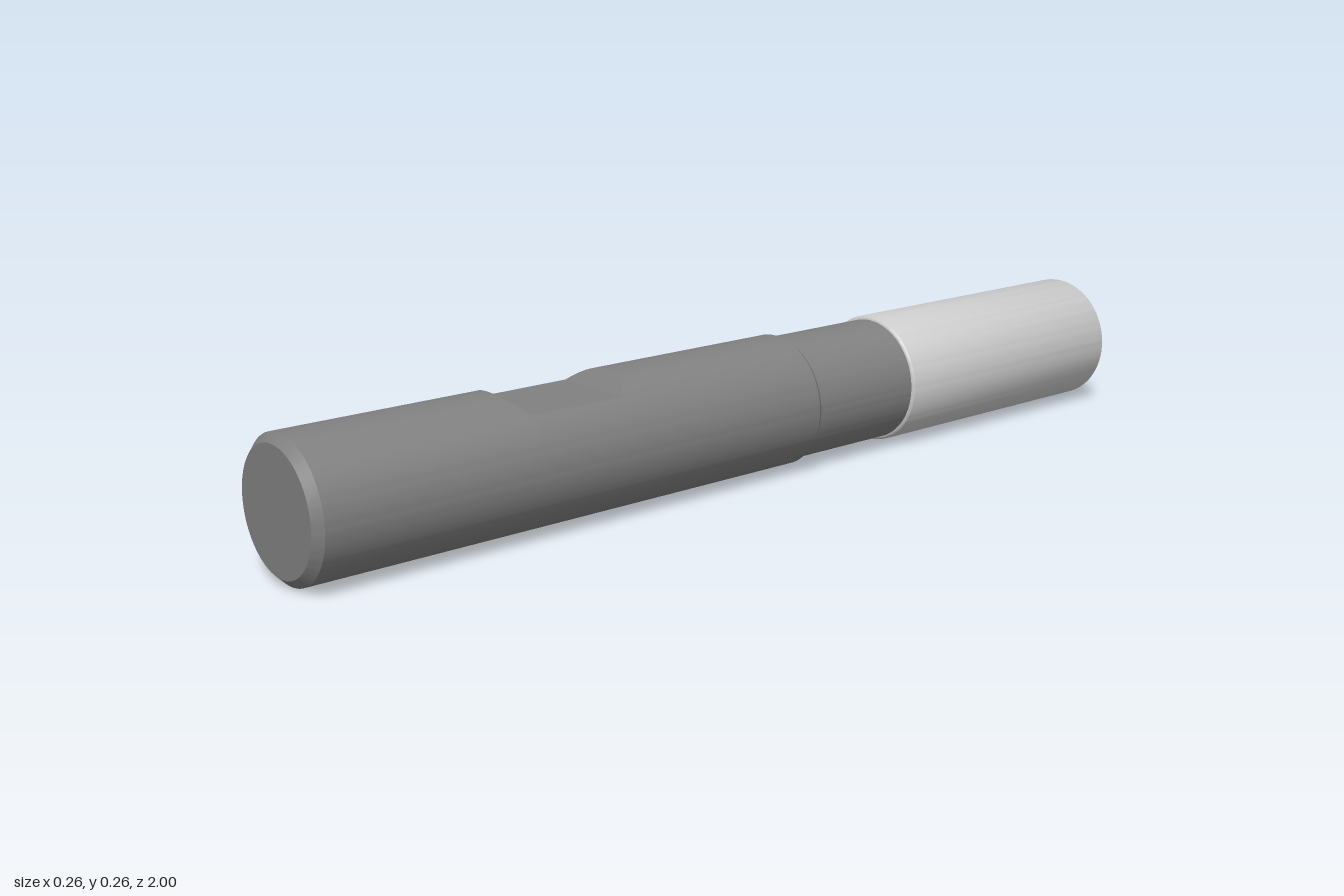
import * as THREE from 'three';
import { toCreasedNormals } from 'three/addons/utils/BufferGeometryUtils.js';

const R = 0.132;                      // body radius
const FLAT = 0.1;                     // height of the clamping flat above the axis
const FLAT_FRONT = 0.547, FLAT_BACK = 0.347;
const SPREAD = Math.acos(FLAT / R);   // half angle cut away by the flat

// Column angles: fine steps over the flat, so its edges fall exactly on columns
const angles = [];
for (let i = 0; i < 32; i++) angles.push(Math.PI / 2 - SPREAD + (2 * SPREAD * i) / 32);
for (let i = 0; i < 72; i++) angles.push(Math.PI / 2 + SPREAD + ((2 * Math.PI - 2 * SPREAD) * i) / 72);

// Point on a circle of radius r at depth z
const ring = (r, z) => (a) => [r * Math.cos(a), r * Math.sin(a), z];

// Rim of the flat: follows the body surface up 45 degree ramps (dir = +1 front, -1 back)
const rim = (z, dir) => (a) => {
  const y = R * Math.sin(a);
  return [R * Math.cos(a), y, z + dir * Math.max(0, y - FLAT)];
};

// Floor of the flat: body section cut level
const floor = (z) => (a) => [R * Math.cos(a), Math.min(R * Math.sin(a), FLAT), z];

// Skin a list of sections, ordered front to back
function loft(sections) {
  const n = angles.length, pos = [], index = [];
  for (const s of sections) for (const a of angles) pos.push(...s(a));
  for (let i = 0; i < sections.length - 1; i++) {
    for (let j = 0; j < n; j++) {
      const k = (j + 1) % n;
      const a = i * n + j, b = a + n, c = (i + 1) * n + k, d = i * n + k;
      index.push(a, b, c, a, c, d);
    }
  }
  const g = new THREE.BufferGeometry();
  g.setAttribute('position', new THREE.Float32BufferAttribute(pos, 3));
  g.setIndex(index);
  return toCreasedNormals(g, 0.55);
}

// Quarter-round edge sections from angle t0 to t1
function rounded(r, z, rad, t0, t1) {
  const out = [];
  for (let i = 0; i <= 5; i++) {
    const t = t0 + ((t1 - t0) * i) / 5;
    out.push(ring(r - rad + rad * Math.cos(t), z + rad * Math.sin(t)));
  }
  return out;
}

export function createModel() {
  const model = new THREE.Group();
  model.name = 'cylindricalTool';
  const add = (name, sections, color) => {
    const mesh = new THREE.Mesh(loft(sections), new THREE.MeshStandardMaterial({ color }));
    mesh.name = name;
    mesh.position.y = R;
    model.add(mesh);
  };

  // Shank with chamfered front end and clamping flat on top
  add('shank', [
    ring(0, 1), ring(0.116, 1), ring(R, 0.984),
    rim(FLAT_FRONT, 1), floor(FLAT_FRONT), floor(FLAT_BACK), rim(FLAT_BACK, -1),
    ring(R, -0.108), ring(0.125, -0.118), ring(0, -0.118),
  ], 0x808080);

  // Reduced neck
  add('neck', [ring(0.125, -0.115), ring(0.125, -0.378)], 0x808080);

  // Cutting head with softened edges
  add('head', [
    ring(0, -0.375),
    ...rounded(R, -0.383, 0.008, Math.PI / 2, 0),
    ...rounded(R, -0.992, 0.008, 0, -Math.PI / 2),
    ring(0, -1),
  ], 0xcccccc);

  return model;
}
